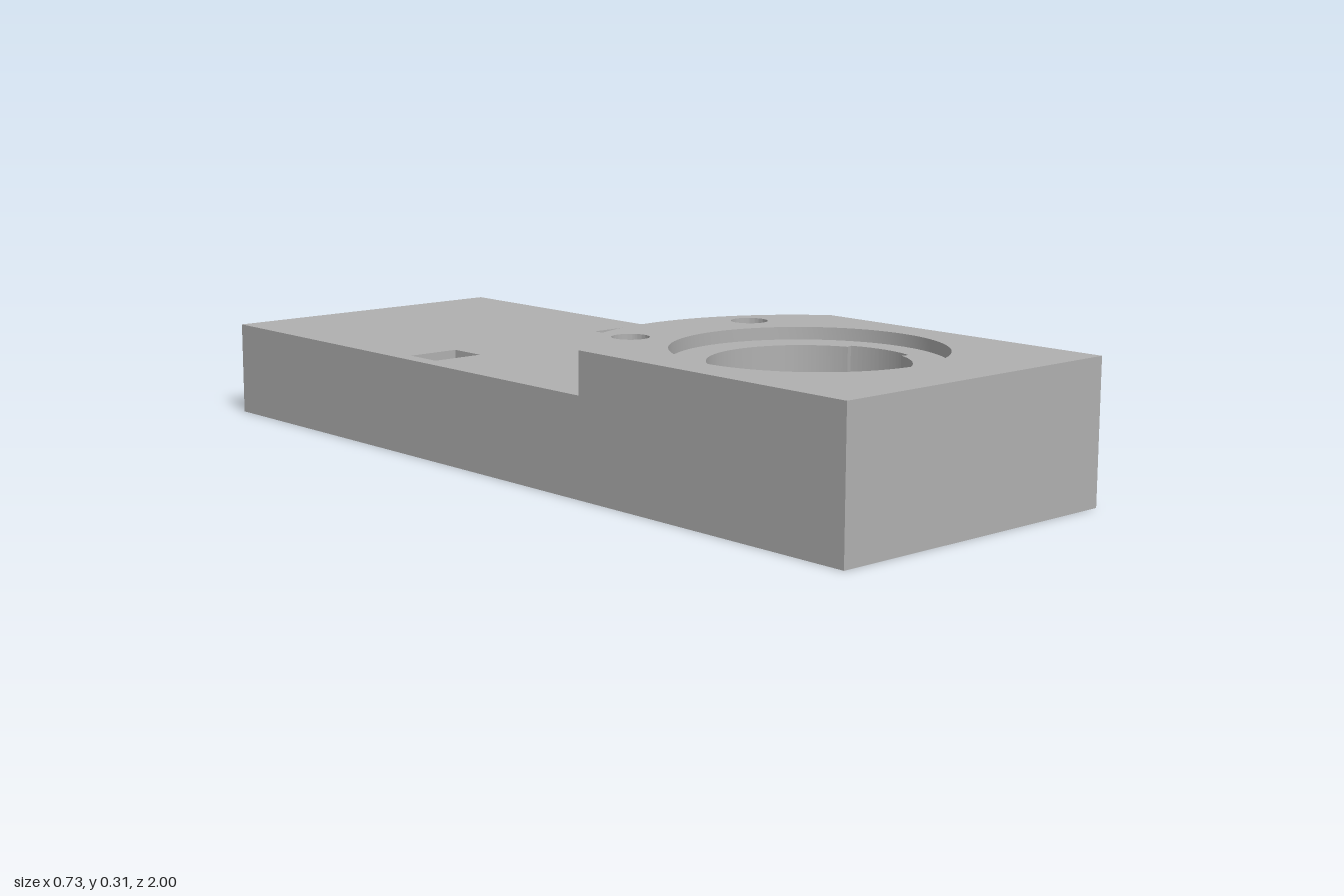
import * as THREE from 'three';
import { toCreasedNormals } from 'three/addons/utils/BufferGeometryUtils.js';

const W = 0.365, L = 1, WALL = 0.06;          // half width, half length, wall
const FLOOR = 0.08, STEP = 0.185, DECK = 0.215, SEAT = 0.28, TOP = 0.307;
const CZ = 0.555;                             // z of the socket centre
const BORE = 0.207, WIDE = 0.224;             // socket radii
const rad = THREE.MathUtils.degToRad;

export function createModel() {
  const model = new THREE.Group();
  model.name = 'mountingPlate';
  const grey = new THREE.MeshStandardMaterial({ color: 0xb0b0b0 });
  grey.name = 'grey';

  const add = (name, geometry) => {
    const mesh = new THREE.Mesh(toCreasedNormals(geometry, 0.5), grey);
    mesh.name = name;
    model.add(mesh);
  };
  // Plan shapes are drawn with y = -z and raised from y0 to y1
  const layer = (name, shape, holes, y0, y1) => {
    shape.holes.push(...holes);
    const g = new THREE.ExtrudeGeometry(shape, { depth: y1 - y0, bevelEnabled: false, curveSegments: 48 });
    add(name, g.rotateX(-Math.PI / 2).translate(0, y0, 0));
  };
  const polygon = (points) => new THREE.Shape(points.map(([x, z]) => new THREE.Vector2(x, -z)));
  const rect = (x0, x1, z0, z1) => polygon([[x0, z1], [x1, z1], [x1, z0], [x0, z0]]);
  const circle = (x, z, r) => new THREE.Shape().absarc(x, -z, r, 0, Math.PI * 2);

  // Socket opening with two entry slots of different widths
  const slottedBore = () => {
    const p = new THREE.Path();
    [[WIDE, -21, 21], [BORE, 21, 149], [WIDE, 149, 211], [BORE, 211, 339]]
      .forEach(([r, a, b]) => p.absarc(0, -CZ, r, rad(a), rad(b)));
    p.closePath();
    return p;
  };
  // Raised head, rounded towards the back
  const head = () => {
    const r = 0.463, a = Math.acos(W / r);
    const s = new THREE.Shape();
    s.moveTo(-W, -L);
    s.lineTo(W, -L);
    s.absarc(0, -CZ, r, a, Math.PI - a);
    s.closePath();
    return s;
  };

  // Hollow underside: three plain walls and one with cable notches
  const inX = W - WALL, inZ = L - WALL;
  layer('rimWalls', polygon([[inX, L], [inX, inZ], [-inX, inZ], [-inX, -inZ],
    [inX, -inZ], [inX, -L], [-W, -L], [-W, L]]), [], 0, FLOOR);

  const side = new THREE.Shape();
  side.moveTo(-L, 0);
  for (const z of [0.8, 0.86, 0.92].map((v) => -v)) {
    // profile x is -z
    if (z === -0.8) side.lineTo(0.8, 0);
    side.lineTo(-z, 0);
    side.lineTo(-z, 0.04);
    side.lineTo(-z + 0.034, 0.04);
    side.lineTo(-z + 0.034, 0);
  }
  side.lineTo(L, 0);
  side.lineTo(L, FLOOR);
  side.lineTo(-L, FLOOR);
  side.closePath();
  add('notchedWall', new THREE.ExtrudeGeometry(side, { depth: WALL, bevelEnabled: false })
    .rotateY(Math.PI / 2).translate(inX, 0, 0));

  layer('socketRing', circle(0, CZ, 0.286), [circle(0, CZ, WIDE)], 0, FLOOR);

  // Deck with two blind rectangular pockets
  const pockets = [-1, 1].map((s) => rect(s * 0.268 - 0.061, s * 0.268 + 0.061, -0.35, -0.26));
  layer('lowerDeck', rect(-W, W, -L, L), [circle(0, CZ, WIDE)], FLOOR, STEP);
  layer('upperDeck', rect(-W, W, -L, L), [slottedBore(), ...pockets], STEP, DECK);

  // Head with its round recess and two blind pin holes
  const pins = [-1, 1].map((s) => circle(s * 0.172, 0.208, 0.04));
  layer('head', head(), [slottedBore()], DECK, SEAT);
  layer('headTop', head(), [circle(0, CZ, 0.283), ...pins], SEAT, TOP);

  // Twist stops beside the slots, under the ledge
  for (const [a, b] of [[211, 255], [21, 65]]) {
    const s = new THREE.Shape();
    s.absarc(0, -CZ, WIDE + 0.006, rad(a), rad(b), false);
    s.absarc(0, -CZ, BORE, rad(b), rad(a), true);
    s.closePath();
    layer('twistStop', s, [], 0.115, STEP);
  }
  return model;
}
